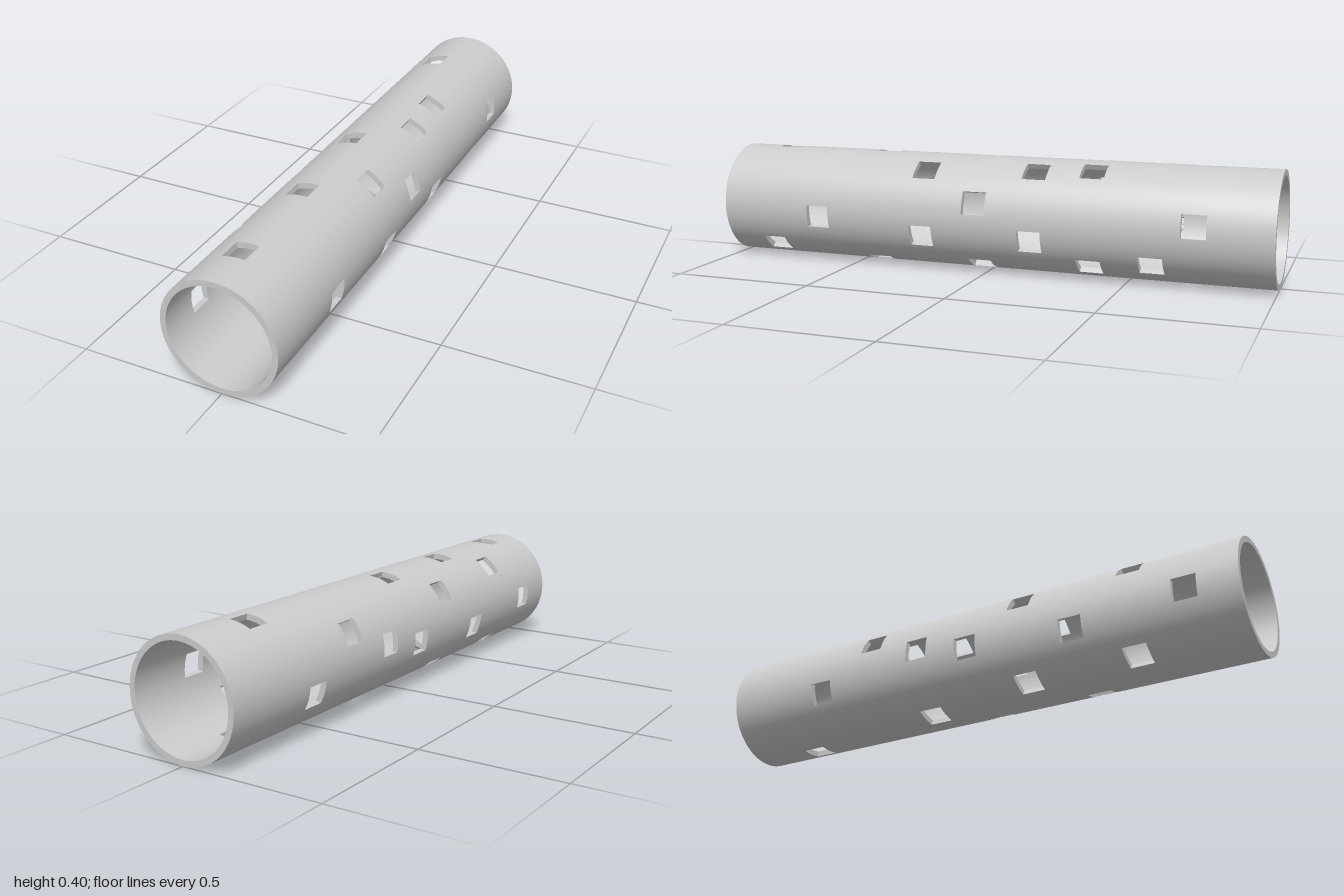
import * as THREE from 'three';

const OUTER = 0.2, INNER = 0.18, HALF_LENGTH = 1;
const HALF_W = 0.04, HALF_L = 0.042; // half size of a window: around and along the tube
const SEGMENTS = 96;
const RAD = Math.PI / 180;

// Rings of windows: position along z, then angles in degrees from +x towards +y
const RINGS = [
  [0.82, [95.5, 183, 312]],
  [0.62, [352.4, 134, 236]],
  [0.42, [98, 195, 288]],
  [0.22, [51.5, 144, 339, 238]],
  [0.02, [17, 104, 299, 187]],
  [-0.18, [57.5, 175, 341, 253]],
  [-0.38, [62.5, 151, 312]],
  [-0.595, [322, 197]],
  [-0.74, [104, 8, 272]],
];
const windows = RINGS.flatMap(([z, angles]) => angles.map((deg) => ({ z, a: deg * RAD })));

const point = (r, a, z) => new THREE.Vector3(r * Math.cos(a), r * Math.sin(a), z);
const radial = (a, sign) => new THREE.Vector3(sign * Math.cos(a), sign * Math.sin(a), 0);

// Collects quads and turns each one to face along its normals
function createBuilder() {
  const positions = [], normals = [];
  return {
    quad(corners, norms) {
      const n = norms.length === 1 ? [norms[0], norms[0], norms[0], norms[0]] : norms;
      const face = corners[2].clone().sub(corners[0]).cross(corners[3].clone().sub(corners[1]));
      const order = face.dot(n[0]) > 0 ? [0, 1, 2, 0, 2, 3] : [0, 2, 1, 0, 3, 2];
      for (const i of order) {
        positions.push(...corners[i].toArray());
        normals.push(...n[i].toArray());
      }
    },
    mesh(name, material) {
      const g = new THREE.BufferGeometry();
      g.setAttribute('position', new THREE.Float32BufferAttribute(positions, 3));
      g.setAttribute('normal', new THREE.Float32BufferAttribute(normals, 3));
      const mesh = new THREE.Mesh(g, material);
      mesh.name = name;
      return mesh;
    },
  };
}

// Angle between a window's middle and its parallel side walls at radius r
const spread = (r) => Math.asin(HALF_W / r);

const sortedUnique = (list) =>
  list.sort((p, q) => p - q).filter((v, i) => i === 0 || v - list[i - 1] > 1e-6);

function inWindow(a, z, r) {
  return windows.some((w) => {
    const d = Math.atan2(Math.sin(a - w.a), Math.cos(a - w.a));
    return Math.abs(z - w.z) < HALF_L && Math.abs(d) < spread(r);
  });
}

// Cylinder wall split along every window edge, leaving the windows open
function cylinderWall(name, r, sign, material) {
  const full = Math.PI * 2;
  const angles = [full];
  for (let i = 0; i < SEGMENTS; i++) angles.push((i / SEGMENTS) * full);
  for (const w of windows)
    for (const s of [-1, 1]) angles.push((w.a + s * spread(r) + full) % full);
  const as = sortedUnique(angles);
  const zs = sortedUnique([-HALF_LENGTH, HALF_LENGTH, ...RINGS.flatMap(([z]) => [z - HALF_L, z + HALF_L])]);

  const b = createBuilder();
  for (let j = 0; j < zs.length - 1; j++) {
    for (let i = 0; i < as.length - 1; i++) {
      const [a0, a1, z0, z1] = [as[i], as[i + 1], zs[j], zs[j + 1]];
      if (inWindow((a0 + a1) / 2, (z0 + z1) / 2, r)) continue;
      const n0 = radial(a0, sign), n1 = radial(a1, sign);
      b.quad([point(r, a0, z0), point(r, a1, z0), point(r, a1, z1), point(r, a0, z1)], [n0, n1, n1, n0]);
    }
  }
  return b.mesh(name, material);
}

// Flat annular strip at one z, from the inner to the outer radius
function flatStrip(b, z, facing, innerFrom, innerTo, outerFrom, outerTo, steps) {
  const n = new THREE.Vector3(0, 0, facing);
  const { lerp } = THREE.MathUtils;
  for (let i = 0; i < steps; i++) {
    const t = i / steps, u = (i + 1) / steps;
    b.quad([
      point(INNER, lerp(innerFrom, innerTo, t), z), point(OUTER, lerp(outerFrom, outerTo, t), z),
      point(OUTER, lerp(outerFrom, outerTo, u), z), point(INNER, lerp(innerFrom, innerTo, u), z),
    ], [n]);
  }
}

// Four walls through the thickness of the tube at each window
function windowReveals(material) {
  const b = createBuilder();
  const si = spread(INNER), so = spread(OUTER);
  for (const { a, z } of windows) {
    for (const s of [-1, 1]) {
      flatStrip(b, z + s * HALF_L, -s, a - si, a + si, a - so, a + so, 8);
      const n = new THREE.Vector3(s * Math.sin(a), -s * Math.cos(a), 0);
      b.quad([
        point(INNER, a + s * si, z - HALF_L), point(OUTER, a + s * so, z - HALF_L),
        point(OUTER, a + s * so, z + HALF_L), point(INNER, a + s * si, z + HALF_L),
      ], [n]);
    }
  }
  return b.mesh('windowReveals', material);
}

// Ring-shaped rim closing the wall at one end
function endRim(name, side, material) {
  const b = createBuilder();
  flatStrip(b, side * HALF_LENGTH, side, 0, Math.PI * 2, 0, Math.PI * 2, SEGMENTS);
  return b.mesh(name, material);
}

export function createModel() {
  const material = new THREE.MeshStandardMaterial({ color: 0xcccccc });
  const tube = new THREE.Group();
  tube.name = 'perforatedTube';
  tube.add(
    cylinderWall('outerWall', OUTER, 1, material),
    cylinderWall('innerWall', INNER, -1, material),
    windowReveals(material),
    endRim('frontRim', 1, material),
    endRim('backRim', -1, material),
  );
  tube.position.y = OUTER;

  const model = new THREE.Group();
  model.name = 'model';
  model.add(tube);
  return model;
}
